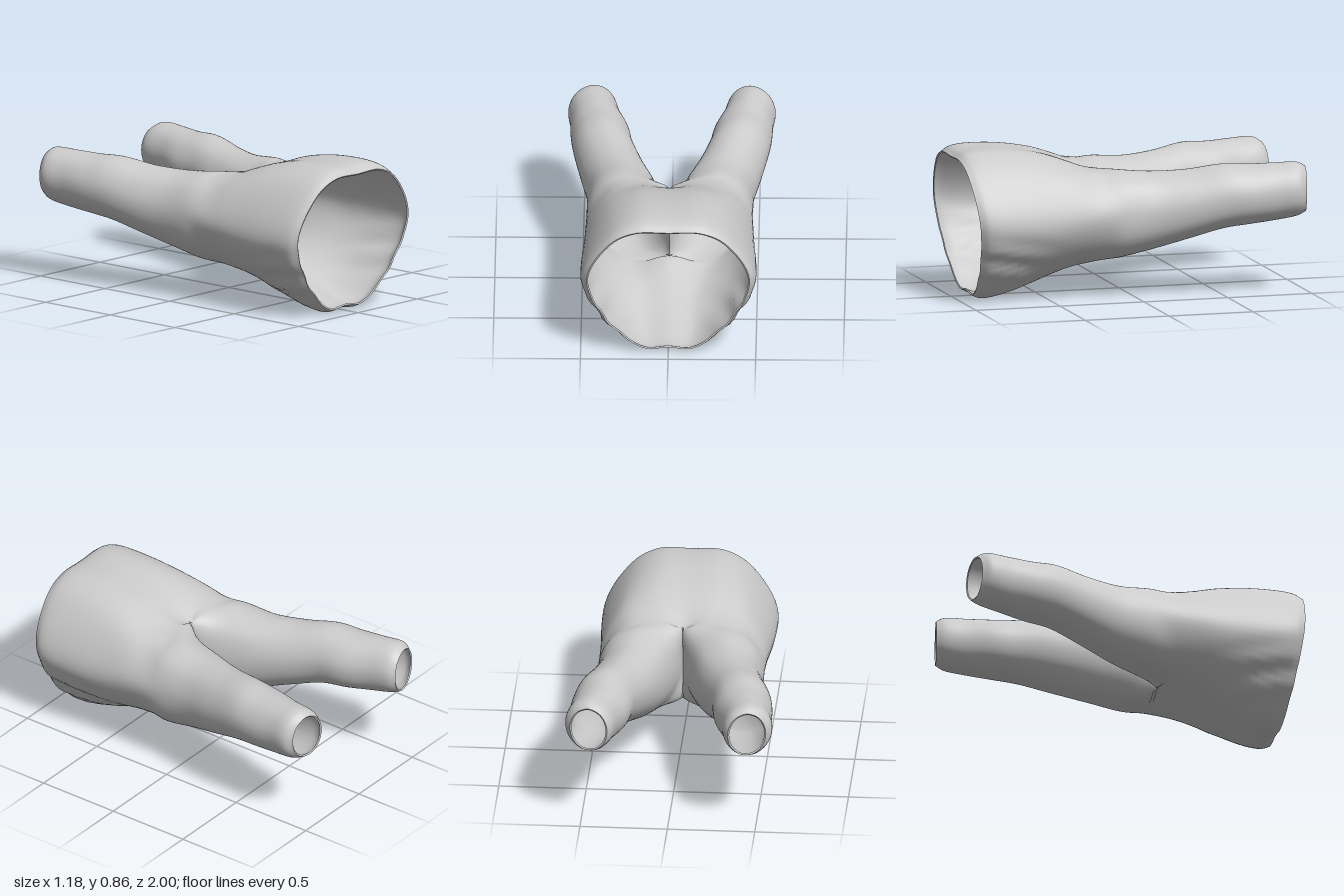
import * as THREE from 'three';
import { mergeVertices, toCreasedNormals } from 'three/addons/utils/BufferGeometryUtils.js';

const WALL = 0.01;   // cloth thickness
const SUB = 6;       // rings between two stations
const SEG = 8;       // points between two profile corners
const ARC = 6;       // profile spans from top seam round the outside to bottom seam
const LOOP = 9;      // spans in a closed leg ring
const V = (x, y, z) => new THREE.Vector3(x, y, z);

// Half profiles of the hips, top seam to bottom seam: z, lean, [x, y] corners
const HIPS = [
  [1.0, .115, [[0, .815], [.19, .812], [.33, .74], [.465, .5], [.355, .22], [.14, .03], [0, .035]]],
  [.95, .115, [[0, .848], [.19, .843], [.345, .75], [.495, .48], [.375, .21], [.14, .01], [0, .015]]],
  [.75, .1, [[0, .862], [.19, .853], [.35, .755], [.5, .47], [.385, .23], [.16, .05], [0, .055]]],
  [.5, .05, [[0, .822], [.2, .818], [.36, .73], [.487, .47], [.385, .265], [.17, .13], [0, .135]]],
  [.35, 0, [[0, .768], [.18, .775], [.36, .71], [.48, .49], [.39, .29], [.2, .175], [0, .19]]],
  [.22, 0, [[0, .70], [.13, .735], [.33, .71], [.475, .51], [.40, .31], [.23, .205], [0, .255]]],
];
// Leg rings: z, inner x, outer x, bottom y, top y, lean, roundness of the inner half
const LEGS = [
  [.1, .03, .475, .225, .735, 0, .6],
  [-.1, .085, .48, .27, .72, 0, .8],
  [-.3, .15, .52, .33, .73, 0, 1],
  [-.5, .215, .56, .39, .76, 0, 1],
  [-.65, .24, .575, .41, .755, .1, 1],
  [-.8, .29, .58, .43, .76, .15, 1],
  [-.93, .32, .59, .455, .76, .2, 1],
  [-.975, .345, .56, .475, .735, .2, 1],
];
const CROTCH = (HIPS.length - 1) * SUB;

// Nine corners for every station
function stations() {
  const hips = HIPS.map(([z, lean, pts]) => {
    const p = pts.map(([x, y]) => V(x, y, z + lean * (y - 0.8)));
    const top = p[0], bottom = p[ARC];
    return [...p, bottom.clone().lerp(top, 1 / 3), bottom.clone().lerp(top, 2 / 3)];
  });
  const legs = LEGS.map(([z, x0, x1, y0, y1, lean, round]) =>
    Array.from({ length: LOOP }, (_, j) => {
      const a = THREE.MathUtils.degToRad(130 - 40 * j);
      const c = Math.cos(a);
      const dx = (x1 - x0) / 2 * (c < 0 ? -((-c) ** round) : c);
      return V((x0 + x1) / 2 + dx, (y0 + y1) / 2 + (y1 - y0) / 2 * Math.sin(a), z + lean * dx);
    }));
  return [...hips, ...legs];
}

// Long shallow folds low on the flanks
function crumple(p) {
  const bump = (v, c, w) => Math.exp(-(((v - c) / w) ** 2));
  const amp = 0.009 * bump(p.z, 0.76, 0.2) * bump(p.y, 0.22, 0.15) * Math.min(1, p.x / 0.3);
  const d = amp * Math.sin(p.y * 45 - p.z * 8);
  p.x += d;
  p.y -= d;
  return p;
}

// All rings of one half, waist to cuff
function halfRings() {
  const table = stations();
  const columns = Array.from({ length: LOOP }, (_, j) =>
    new THREE.CatmullRomCurve3(table.map(s => s[j]), false, 'centripetal'));
  const steps = (table.length - 1) * SUB;
  const rings = [];
  for (let i = 0; i <= steps; i++) {
    const c = columns.map(curve => curve.getPoint(i / steps));
    const ring = [];
    if (i <= CROTCH) {
      // Mirror the corners so the seam stays smooth
      c[0].x = c[ARC].x = 0;
      const mirrored = c.slice(1, ARC).reverse().map(p => V(-p.x, p.y, p.z));
      const arc = new THREE.CatmullRomCurve3([...c.slice(0, ARC + 1), ...mirrored], true, 'centripetal');
      for (let j = 0; j <= ARC * SEG; j++) {
        const p = arc.getPoint(j / (2 * ARC * SEG));
        if (j % (ARC * SEG) === 0) p.x = 0;
        ring.push(p);
      }
      const inner = (LOOP - ARC) * SEG;
      for (let j = 1; j < inner; j++) ring.push(c[ARC].clone().lerp(c[0], j / inner));
    } else {
      const loop = new THREE.CatmullRomCurve3(c, true, 'centripetal');
      for (let j = 0; j < LOOP * SEG; j++) ring.push(loop.getPoint(j / (LOOP * SEG)));
    }
    ring.forEach(crumple);
    rings.push(ring);
  }
  return rings;
}

// Both halves welded along the centre seam
function clothSurface() {
  const rings = halfRings(), n = LOOP * SEG;
  const positions = [], index = [];
  for (const side of [1, -1]) {
    const base = positions.length / 3;
    rings.forEach(r => r.forEach(p => positions.push(side * p.x, p.y, p.z)));
    for (let i = 0; i < rings.length - 1; i++) {
      const spans = i < CROTCH ? ARC * SEG : n;
      for (let j = 0; j < spans; j++) {
        const a = base + i * n + j, b = base + i * n + (j + 1) % n;
        const c = a + n, d = b + n;
        if (side > 0) index.push(a, b, c, b, d, c);
        else index.push(a, c, b, b, c, d);
      }
    }
  }
  const g = new THREE.BufferGeometry();
  g.setAttribute('position', new THREE.Float32BufferAttribute(positions, 3));
  g.setIndex(index);
  const welded = mergeVertices(g, 1e-5);
  welded.computeVertexNormals();
  return welded;
}

// Lining: the cloth pushed inward and turned inside out
function liningSurface(outer) {
  const lining = outer.clone();
  const pos = lining.attributes.position, nor = outer.attributes.normal;
  for (let i = 0; i < pos.count; i++) {
    const p = V().fromBufferAttribute(pos, i).addScaledVector(V().fromBufferAttribute(nor, i), -WALL);
    pos.setXYZ(i, p.x, p.y, p.z);
  }
  lining.setIndex(Array.from(outer.index.array).reverse());
  return lining;
}

// Strip joining the open edges of the cloth to those of the lining
function hemSurface(outer, lining) {
  const idx = outer.index.array, edges = new Map();
  for (let i = 0; i < idx.length; i += 3) {
    for (let k = 0; k < 3; k++) {
      const a = idx[i + k], b = idx[i + (k + 1) % 3];
      if (!edges.delete(`${b},${a}`)) edges.set(`${a},${b}`, [a, b]);
    }
  }
  const positions = [];
  const put = (g, i) => positions.push(...V().fromBufferAttribute(g.attributes.position, i).toArray());
  for (const [a, b] of edges.values()) {
    put(outer, b); put(outer, a); put(lining, a);
    put(outer, b); put(lining, a); put(lining, b);
  }
  const g = new THREE.BufferGeometry();
  g.setAttribute('position', new THREE.Float32BufferAttribute(positions, 3));
  return g;
}

export function createModel() {
  const group = new THREE.Group();
  group.name = 'trousers';
  const material = new THREE.MeshStandardMaterial({ color: 0xcccccc });
  const add = (name, geometry) => {
    const mesh = new THREE.Mesh(toCreasedNormals(geometry, 0.8), material);
    mesh.name = name;
    group.add(mesh);
  };
  const outer = clothSurface();
  const lining = liningSurface(outer);
  add('outerCloth', outer);
  add('lining', lining);
  add('waistAndCuffHems', hemSurface(outer, lining));
  return group;
}
